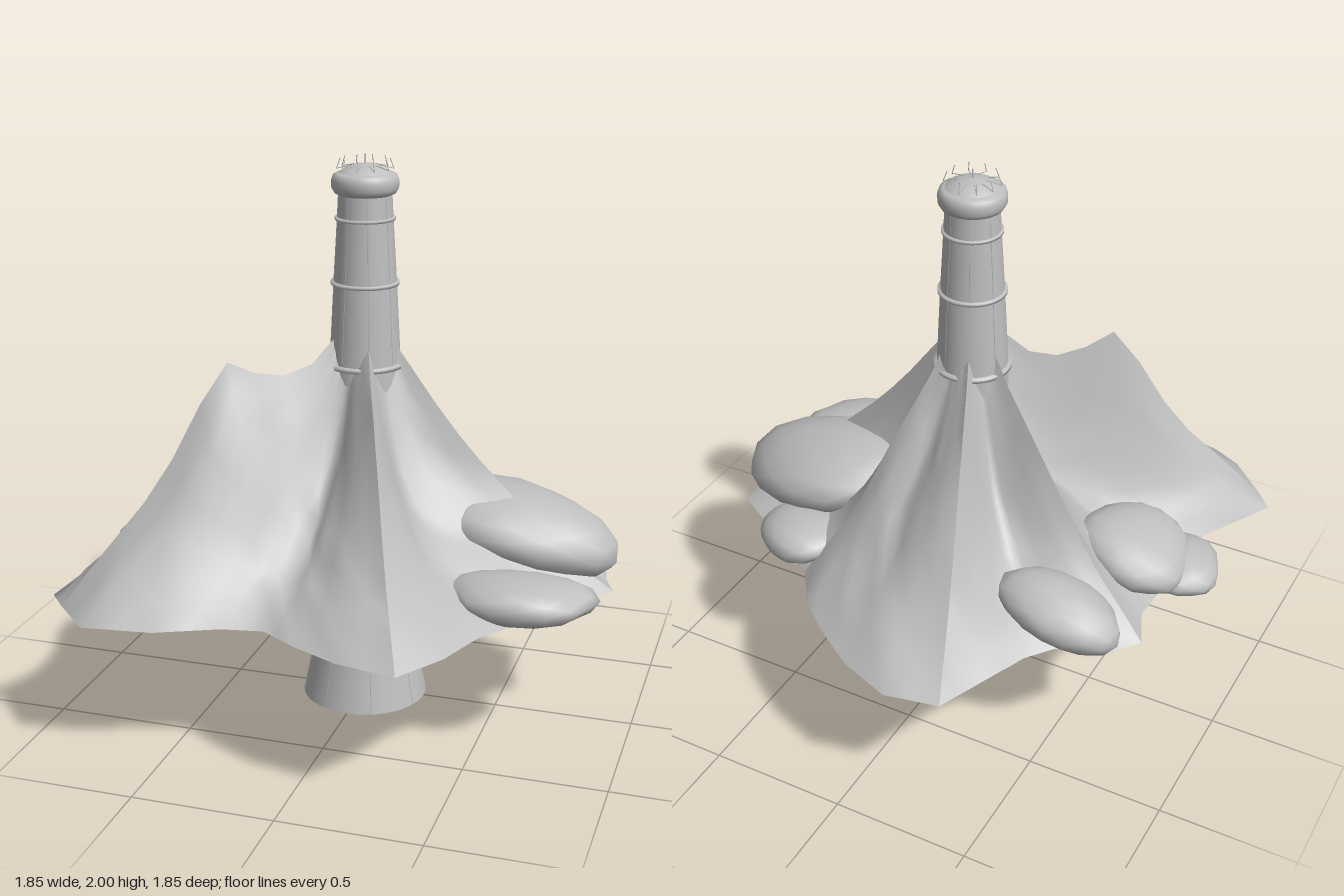
import * as THREE from 'three';
import { mergeVertices } from 'three/addons/utils/BufferGeometryUtils.js';

const BASE = 0.525; // height of the mountain's flat underside

export function createModel() {
  const model = new THREE.Group();
  const stone = new THREE.MeshStandardMaterial({ color: 0xbebebe, side: THREE.DoubleSide });
  stone.name = 'stoneGrey';

  let seed = 7;
  const rand = () => (seed = (seed * 16807) % 2147483647) / 2147483647;

  const add = (name, geometry, parent = model) => {
    const mesh = new THREE.Mesh(geometry, stone);
    mesh.name = name;
    parent.add(mesh);
    return mesh;
  };
  const group = (name) => {
    const g = new THREE.Group();
    g.name = name;
    model.add(g);
    return g;
  };
  const lathe = (points, sides = 40) =>
    new THREE.LatheGeometry(points.map(([r, y]) => new THREE.Vector2(r, y)), sides);
  // Thin bar between two points
  const bar = (name, a, b, r, parent, sides = 5) => {
    const from = new THREE.Vector3(...a), to = new THREE.Vector3(...b);
    const m = add(name, new THREE.CylinderGeometry(r, r, from.distanceTo(to), sides), parent);
    m.position.copy(from).add(to).multiplyScalar(0.5);
    m.quaternion.setFromUnitVectors(new THREE.Vector3(0, 1, 0), to.sub(from).normalize());
  };

  // Tower shaft, closed at the bottom
  const shaft = [[0.228, 0], [0.208, 0.1], [0.19, 0.2], [0.173, 0.32], [0.158, 0.44], [0.15, 0.53],
    [0.138, 0.9], [0.126, 1.25], [0.11, 1.56], [0.097, 1.78], [0.092, 1.88]];
  add('towerShaft', lathe(shaft));
  const foot = add('towerBottom', new THREE.CircleGeometry(0.228, 40));
  foot.rotation.x = Math.PI / 2;

  // Raised bands
  const bands = group('towerBands');
  for (const [r, y, h] of [[0.157, 0.485, 0.022], [0.138, 1.265, 0.02], [0.12, 1.555, 0.016], [0.105, 1.78, 0.014]])
    add('band', lathe([[r - 0.018, y - h / 2], [r, y - h / 3], [r, y + h / 3], [r - 0.018, y + h / 2]]), bands);

  // Slim seams up the shaft
  const seams = group('towerSeams');
  for (let i = 0; i < 8; i++) {
    const a = (i + 0.5) * Math.PI / 4;
    for (const [lo, hi] of [[0, 5], [7, 10]])
      for (let k = lo; k < hi; k++) {
        const at = ([r, y]) => [Math.sin(a) * (r - 0.001), y, Math.cos(a) * (r - 0.001)];
        bar('seam', at(shaft[k]), at(shaft[k + 1]), 0.002, seams, 4);
      }
  }

  // Rounded cap, shallow dome and crown of prongs
  add('towerCap', lathe([[0.09, 1.86], [0.106, 1.868], [0.116, 1.885], [0.117, 1.91], [0.111, 1.928],
    [0.1, 1.935], [0.085, 1.938]]));
  add('dome', lathe([[0.094, 1.934], [0.07, 1.952], [0.04, 1.963], [0, 1.968]]));
  const crown = group('crown');
  for (let i = 0; i < 10; i++) {
    const s = Math.sin(i * Math.PI / 5), c = Math.cos(i * Math.PI / 5);
    const ring = (r, y) => [s * r, y, c * r];
    bar('prong', ring(0.045, 1.962), ring(0.098, 1.95), 0.0015, crown);
    bar('prong', ring(0.098, 1.95), ring(0.085, 1.985), 0.0015, crown);
  }
  bar('spire', [0, 1.96, 0], [0, 2, 0], 0.003, crown);

  // Mountain: height profiles from the tower to the rim
  const ridge = [1.37, 1.25, 1.16, 1.07, 0.98, 0.88, 0.79, 0.71, 0.65, 0.59, BASE];
  const spur = [1.36, 1.25, 1.14, 1.04, 0.95, 0.87, 0.79, 0.71, 0.64, 0.58, BASE];
  const peak = [1.38, 1.28, 1.25, 1.27, 1.32, 1.18, 1, 0.86, 0.75, 0.64, BASE];
  const valley = [1.27, 1.06, 0.91, 0.81, 0.75, 0.7, 0.66, 0.62, 0.59, 0.56, BASE];
  // Each slope runs from ridge to ridge: rim points (x, z), its two profiles and valley depth
  const slopes = [
    { a: spur, b: ridge, depth: 1, rim: [[0.92, 0.05], [0.8, 0.18], [0.68, 0.4], [0.56, 0.56], [0.49, 0.75], [0.38, 0.92]] },
    { a: ridge, b: peak, depth: 0.85, rim: [[0.38, 0.92], [0.17, 0.88], [0, 0.8], [-0.13, 0.72], [-0.27, 0.745],
      [-0.48, 0.84], [-0.72, 0.87], [-0.86, 0.73]] },
    { a: peak, b: ridge, depth: 1, rim: [[-0.86, 0.73], [-0.93, 0.65], [-0.78, 0.38], [-0.74, 0.2], [-0.76, 0],
      [-0.75, -0.15], [-0.81, -0.29]] },
    { a: ridge, b: ridge, depth: 0.9, rim: [[-0.81, -0.29], [-0.74, -0.38], [-0.56, -0.46], [-0.49, -0.55],
      [-0.42, -0.72], [-0.35, -0.89]] },
    { a: ridge, b: ridge, depth: 0.5, rim: [[-0.35, -0.89], [-0.16, -0.93], [0.03, -0.86], [0.18, -0.76],
      [0.32, -0.65], [0.42, -0.5]] },
    { a: ridge, b: spur, depth: 1.35, rim: [[0.42, -0.5], [0.6, -0.4], [0.75, -0.3], [0.85, -0.24], [0.88, -0.05], [0.92, 0.05]] },
  ];
  const mountain = group('mountain');
  const N = 10;
  for (const { a, b, depth, rim } of slopes) {
    const pos = [], index = [], cols = (rim.length - 1) * 2;
    for (let i = 0; i <= cols; i++) {
      const k = Math.min(i >> 1, rim.length - 2), f = i / 2 - k;
      const x = rim[k][0] + (rim[k + 1][0] - rim[k][0]) * f;
      const z = rim[k][1] + (rim[k + 1][1] - rim[k][1]) * f;
      const R = Math.hypot(x, z), u = i / cols;
      const sink = depth * (1 - Math.abs(1 - 2 * u) ** 1.4);
      for (let j = 0; j <= N; j++) {
        const r = 0.1 + (R - 0.1) * j / N;
        const high = u < 0.5 ? a[j] : b[j];
        const inside = i > 0 && i < cols && j > 0 && j < N;
        const y = high + (valley[j] - high) * sink + (inside ? (rand() - 0.5) * 0.025 : 0);
        pos.push(x / R * r, Math.max(y, BASE), z / R * r);
        if (i < cols && j < N) {
          const p = i * (N + 1) + j, q = p + N + 1;
          index.push(p, q, p + 1, q, q + 1, p + 1);
        }
      }
    }
    const g = new THREE.BufferGeometry();
    g.setAttribute('position', new THREE.Float32BufferAttribute(pos, 3));
    g.setIndex(index);
    g.computeVertexNormals();
    add('slope', g, mountain);
  }

  // Jagged flat underside, short of the hollow front lobes
  const rimPoints = slopes.flatMap((s) => s.rim.slice(0, -1)).map(([x, z]) => {
    const R = Math.hypot(x, z);
    const reach = z > 0.38 ? (x > 0 ? 0.47 : 0.6) : x > 0.5 ? 0.93 : 0.78;
    const k = Math.min(R, reach + rand() * 0.08) / R;
    return new THREE.Vector2(x * k, z * k);
  });
  const under = add('mountainUnderside', new THREE.ShapeGeometry(new THREE.Shape(rimPoints)), mountain);
  under.rotation.x = Math.PI / 2;
  under.position.y = BASE;

  // Boulders: lumpy balls trimmed level with the underside
  const boulders = group('boulders');
  const boulder = (centre, size, tilt, turn, phase) => {
    let g = new THREE.IcosahedronGeometry(1, 2);
    g.deleteAttribute('uv');
    g.deleteAttribute('normal');
    g = mergeVertices(g, 1e-4);
    const p = g.attributes.position, v = new THREE.Vector3();
    for (let i = 0; i < p.count; i++) {
      v.fromBufferAttribute(p, i);
      const lump = 1 + 0.06 * Math.sin(3 * v.x + phase) * Math.cos(3.5 * v.z - phase) + 0.04 * Math.sin(5 * v.z + 2 * phase);
      v.multiplyScalar(lump);
      p.setXYZ(i, v.x, v.y, v.z);
    }
    g.scale(...size);
    g.rotateZ(tilt);
    g.rotateY(turn);
    g.translate(...centre);
    for (let i = 0; i < p.count; i++) p.setY(i, Math.max(p.getY(i), BASE));
    g.computeVertexNormals();
    add('boulder', g, boulders);
  };
  boulder([0.565, 0.69, -0.065], [0.36, 0.14, 0.275], -0.22, 0, 0.4);
  boulder([0.65, 0.585, 0.335], [0.255, 0.08, 0.16], -0.04, 0.15, 1.7);
  boulder([0.51, 0.58, -0.37], [0.18, 0.08, 0.145], -0.08, -0.3, 2.9);
  boulder([-0.53, 0.615, -0.36], [0.235, 0.105, 0.155], 0.2, 0, 4.1);
  boulder([-0.63, 0.635, 0.06], [0.21, 0.1, 0.2], 0.3, 0, 5.3);
  boulder([-0.78, 0.56, 0.13], [0.145, 0.07, 0.165], 0.1, 0, 1.2);

  // Lattice boom below the mountain
  const boom = group('latticeBoom');
  const low = (x) => 0.492 - (x - 0.14) * 0.12;
  bar('lowerChord', [0.14, low(0.14), 0], [0.62, low(0.62), 0], 0.005, boom);
  bar('upperChord', [0.14, 0.515, 0], [0.62, 0.515, 0], 0.005, boom);
  for (let i = 0; i < 7; i++) {
    const x = 0.16 + i * 0.064;
    bar('brace', [x, 0.515, 0], [x + 0.008, low(x + 0.008), 0], 0.0035, boom);
    bar('brace', [x + 0.008, low(x + 0.008), 0], [x + 0.064, 0.515, 0], 0.0035, boom);
  }

  return model;
}
